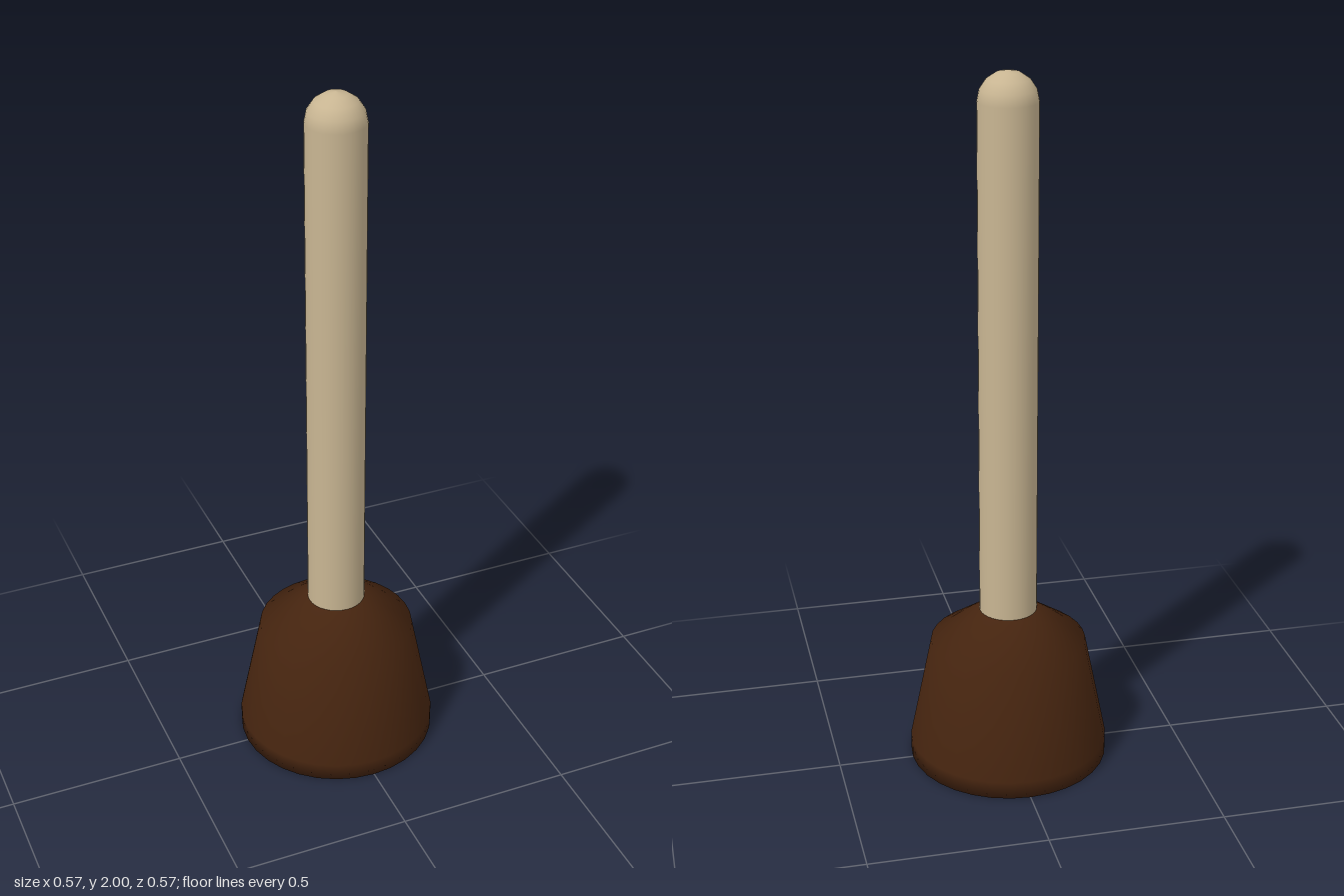
import * as THREE from 'three';

const SIDES = 32;

// Turned part from a bottom-to-top list of [radius, height]
function turned(name, profile, material) {
  const points = profile.map(([r, y]) => new THREE.Vector2(r, y));
  const mesh = new THREE.Mesh(new THREE.LatheGeometry(points, SIDES), material);
  mesh.name = name;
  return mesh;
}

export function createModel() {
  const wood = new THREE.MeshStandardMaterial({ color: 0xc8b592 });
  wood.name = 'pale wood';
  const rubber = new THREE.MeshStandardMaterial({ color: 0x45240f });
  rubber.name = 'dark brown rubber';

  const group = new THREE.Group();
  group.name = 'plunger';

  // Rubber cup: upright lip, tapering wall and sloping shoulder, with a slightly dished base
  group.add(turned('cup', [
    [0, 0.015], [0.285, 0], [0.285, 0.05], [0.222, 0.36], [0.082, 0.457], [0, 0.457],
  ], rubber));

  // Straight handle with a rounded end
  const radius = 0.082;
  const domeBase = 2 - radius;
  const handle = [[radius, 0.44]];
  for (let i = 0; i <= 4; i++) {
    const a = (i / 4) * Math.PI / 2;
    handle.push([i === 4 ? 0 : radius * Math.cos(a), domeBase + radius * Math.sin(a)]);
  }
  group.add(turned('handle', handle, wood));

  return group;
}
